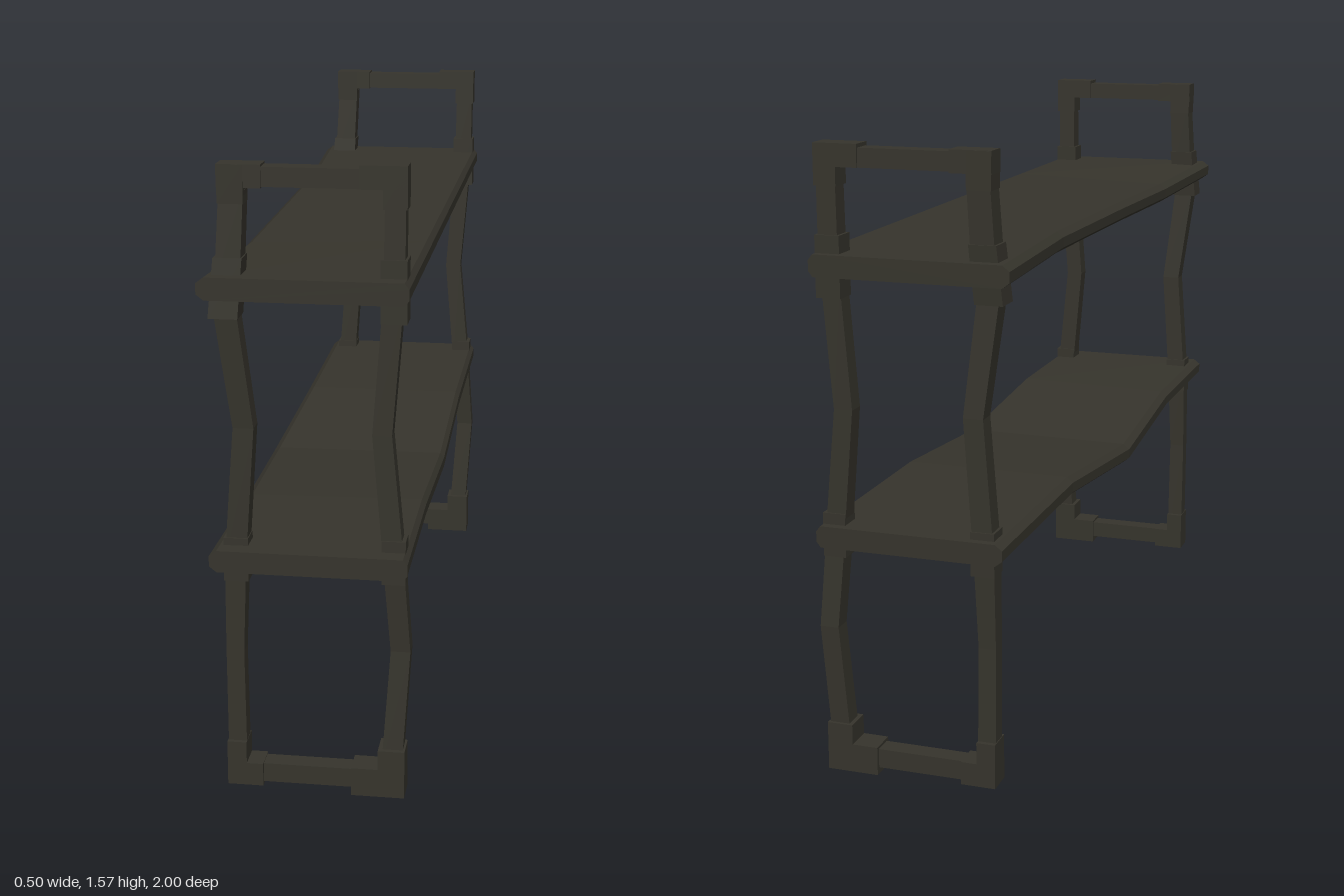
import * as THREE from 'three';

// Skin a list of equal-length rings (counter-clockwise about the travel direction) and cap both ends
function loft(rings) {
  const n = rings[0].length, pos = rings.flat(2), idx = [];
  const last = (rings.length - 1) * n;
  for (let i = 0; i < rings.length - 1; i++) {
    for (let j = 0; j < n; j++) {
      const a = i * n + j, b = i * n + (j + 1) % n;
      idx.push(a, b, b + n, a, b + n, a + n);
    }
  }
  for (let j = 1; j < n - 1; j++) {
    idx.push(0, j + 1, j, last, last + j, last + j + 1);
  }
  const g = new THREE.BufferGeometry();
  g.setAttribute('position', new THREE.Float32BufferAttribute(pos, 3));
  g.setIndex(idx);
  const flat = g.toNonIndexed();
  flat.computeVertexNormals();
  return flat;
}

// Square bar through [x, y, z, width] stations, running upwards
const postGeometry = (stations) => loft(stations.map(([x, y, z, w]) => {
  const h = w / 2;
  return [[-h, h], [h, h], [h, -h], [-h, -h]].map(([dx, dz]) => [x + dx, y, z + dz]);
}));

// Chamfered board through [z, backX, frontX, backTopY, frontTopY] stations
const shelfGeometry = (stations) => loft(stations.map(([z, x0, x1, yb, yf]) => {
  const t = 0.054, cx = 0.018, cy = 0.014;
  return [
    [x0 + cx, yb - t], [x1 - cx * 0.6, yf - t], [x1, yf - t + cy], [x1, yf - cy],
    [x1 - cx * 0.6, yf], [x0 + cx, yb], [x0, yb - cy], [x0, yb - t + cy],
  ].map(([x, y]) => [x, y, z]);
}));

export function createModel() {
  const model = new THREE.Group();
  model.name = 'shelfRack';
  const metal = new THREE.MeshStandardMaterial({ color: 0x36342c, flatShading: true });
  metal.name = 'darkMetal';

  const add = (parent, name, geometry) => {
    const m = new THREE.Mesh(geometry, metal);
    m.name = name;
    parent.add(m);
  };
  // Box given by its x and y limits and its depth
  const block = (parent, name, x0, x1, y0, y1, d, z = 0) => {
    const g = new THREE.BoxGeometry(x1 - x0, y1 - y0, d);
    g.translate((x0 + x1) / 2, (y0 + y1) / 2, z);
    add(parent, name, g);
  };

  // Two identical end frames, bent the same way
  for (const [name, z] of [['frontFrame', 0.927], ['backFrame', -0.949]]) {
    const frame = new THREE.Group();
    frame.name = name;
    frame.position.z = z;
    model.add(frame);

    // Bent uprights
    add(frame, 'rightPostLower', postGeometry([
      [-0.178, 0.05, 0, 0.046], [-0.18, 0.365, 0.003, 0.044], [-0.175, 0.6, 0, 0.052]]));
    add(frame, 'rightPostMiddle', postGeometry([
      [-0.175, 0.6, 0, 0.052], [-0.151, 0.935, 0, 0.05], [-0.188, 1.24, 0.018, 0.055]]));
    add(frame, 'rightPostUpper', postGeometry([
      [-0.18, 1.28, 0.008, 0.06], [-0.169, 1.5, 0, 0.057]]));
    add(frame, 'leftPostLower', postGeometry([
      [0.205, 0.08, 0, 0.05], [0.224, 0.38, -0.014, 0.048], [0.208, 0.6, 0, 0.05]]));
    add(frame, 'leftPostMiddle', postGeometry([
      [0.209, 0.6, 0, 0.05], [0.179, 0.93, 0, 0.047], [0.203, 1.24, 0, 0.048]]));
    add(frame, 'leftPostUpper', postGeometry([
      [0.206, 1.28, 0, 0.05], [0.208, 1.5, 0, 0.048]]));

    // Collars gripping the shelves
    add(frame, 'rightUpperCollar', postGeometry([
      [-0.189, 1.205, 0.017, 0.07], [-0.178, 1.346, 0.006, 0.068]]));
    add(frame, 'leftUpperCollar', postGeometry([
      [0.206, 1.2, 0, 0.062], [0.206, 1.35, 0, 0.062]]));
    add(frame, 'rightLowerCollar', postGeometry([
      [-0.173, 0.55, 0, 0.06], [-0.173, 0.66, 0, 0.06]]));
    add(frame, 'leftLowerCollar', postGeometry([
      [0.208, 0.56, 0, 0.058], [0.208, 0.67, 0, 0.058]]));

    // Bottom bar and corner feet
    block(frame, 'bottomBar', -0.17, 0.2, 0.017, 0.066, 0.05);
    block(frame, 'rightFoot', -0.203, -0.114, 0.009, 0.068, 0.068);
    block(frame, 'rightFootSocket', -0.203, -0.155, 0.009, 0.124, 0.068);
    block(frame, 'leftFoot', 0.106, 0.238, 0, 0.073, 0.07);
    block(frame, 'leftFootSocket', 0.172, 0.238, 0, 0.124, 0.07);

    // Top bar and corner joints
    block(frame, 'topBar', -0.17, 0.2, 1.51, 1.556, 0.05);
    block(frame, 'rightTopCorner', -0.203, -0.1, 1.507, 1.561, 0.058);
    add(frame, 'rightTopSocket', postGeometry([
      [-0.171, 1.47, 0, 0.06], [-0.172, 1.56, 0, 0.062]]));
    block(frame, 'leftTopCorner', 0.126, 0.236, 1.51, 1.565, 0.06);
    block(frame, 'leftTopSocket', 0.18, 0.236, 1.465, 1.565, 0.06);
  }

  // Worn shelves: the upper one dips slightly on one edge, the lower one sags in the middle
  add(model, 'upperShelf', shelfGeometry([
    [-1, -0.252, 0.246, 1.307, 1.307], [-0.5, -0.222, 0.246, 1.306, 1.307],
    [0.05, -0.222, 0.246, 1.3, 1.307], [0.52, -0.225, 0.246, 1.293, 1.307],
    [1, -0.246, 0.246, 1.307, 1.307]]));
  add(model, 'lowerShelf', shelfGeometry([
    [-1, -0.23, 0.246, 0.642, 0.642], [-0.42, -0.225, 0.246, 0.64, 0.642],
    [0.07, -0.244, 0.246, 0.6, 0.604], [0.57, -0.226, 0.246, 0.634, 0.642],
    [1, -0.23, 0.246, 0.642, 0.642]]));

  return model;
}
